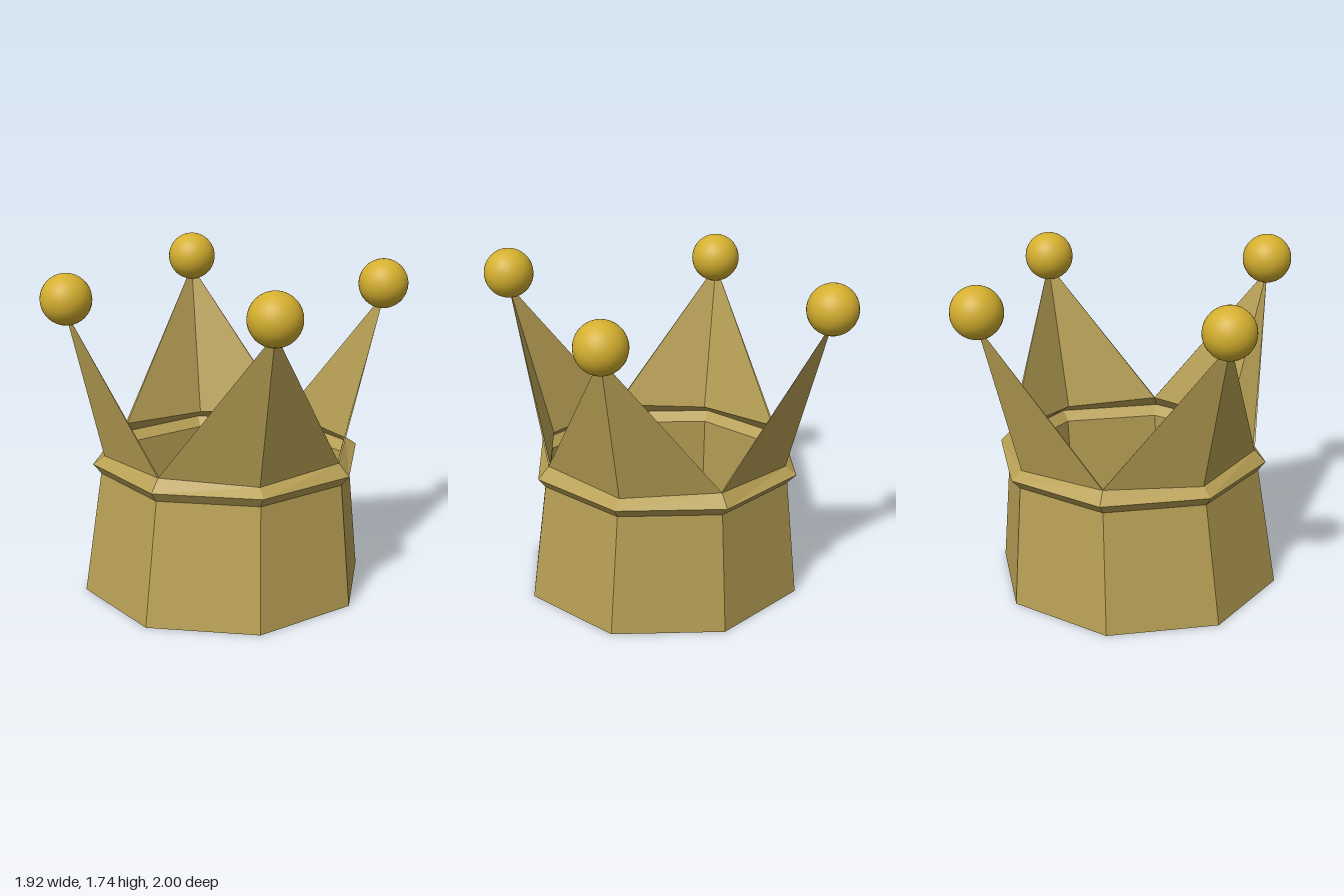
import * as THREE from 'three';

const SIDES = 8;

// Octagonal ring of points; the odd corners may be raised to form the valleys between spikes
function ring(y, radius, cx, cz, lift = 0) {
  return Array.from({ length: SIDES }, (_, i) => {
    const a = (i / SIDES) * Math.PI * 2;
    return new THREE.Vector3(cx + radius * Math.sin(a), y + (i % 2) * lift, cz + radius * Math.cos(a));
  });
}

// Flat-faced mesh from a list of corner triples
function facetMesh(name, corners, material) {
  const geometry = new THREE.BufferGeometry().setFromPoints(corners);
  geometry.computeVertexNormals();
  const mesh = new THREE.Mesh(geometry, material);
  mesh.name = name;
  return mesh;
}

// Strip of quads joining consecutive rings
function loft(rings) {
  const out = [];
  for (let r = 0; r < rings.length - 1; r++) {
    for (let i = 0; i < SIDES; i++) {
      const j = (i + 1) % SIDES;
      const [a, b, c, d] = [rings[r][i], rings[r][j], rings[r + 1][j], rings[r + 1][i]];
      out.push(a, b, c, a, c, d);
    }
  }
  return out;
}

export function createModel() {
  const crown = new THREE.Group();
  crown.name = 'crown';
  const gold = new THREE.MeshStandardMaterial({ color: 0xb8a055, flatShading: true, side: THREE.DoubleSide });
  const brightGold = new THREE.MeshStandardMaterial({ color: 0xd4af2f });

  // Tapered band with a pointed collar, outside and inside
  const outer = [
    ring(0, 0.75, -0.035, 0.02),
    ring(0.635, 0.673, -0.012, 0),
    ring(0.685, 0.715, -0.01, -0.005),
    ring(0.727, 0.656, -0.01, -0.005, 0.021),
  ];
  const inner = [
    ring(0.727, 0.646, -0.01, -0.005, 0.021),
    ring(0.685, 0.703, -0.01, -0.005),
    ring(0.635, 0.657, -0.01, -0.005),
    ring(0, 0.672, -0.035, 0.02),
  ];
  crown.add(facetMesh('outerBand', loft(outer), gold));
  crown.add(facetMesh('innerBand', loft(inner), gold));
  crown.add(facetMesh('bottomRim', loft([inner[3], outer[0]]), gold));

  // Four folded spikes leaning outward, each with a ball on its tip
  const spikes = [
    { name: 'front', corner: 0, ball: [-0.005, 1.605, 0.87], tip: [-0.005, 1.54, 0.875] },
    { name: 'left', corner: 2, ball: [0.83, 1.56, 0], tip: [0.84, 1.51, 0] },
    { name: 'back', corner: 4, ball: [-0.005, 1.59, -0.87], tip: [-0.005, 1.53, -0.875] },
    { name: 'right', corner: 6, ball: [-0.835, 1.56, 0], tip: [-0.845, 1.51, 0] },
  ];
  for (const { name, corner, ball, tip } of spikes) {
    const before = (corner + SIDES - 1) % SIDES;
    const after = corner + 1;
    const top = new THREE.Vector3(...tip);
    const [o, n] = [outer[3], inner[0]];
    crown.add(facetMesh(name + 'Spike', [
      o[before], o[corner], top, o[corner], o[after], top, // outside
      n[corner], n[before], top, n[after], n[corner], top, // inside
      n[before], o[before], top, o[after], n[after], top, // thin edges
    ], gold));

    const sphere = new THREE.Mesh(new THREE.SphereGeometry(0.13, 32, 20), brightGold);
    sphere.name = name + 'Ball';
    sphere.position.set(...ball);
    crown.add(sphere);
  }
  return crown;
}
